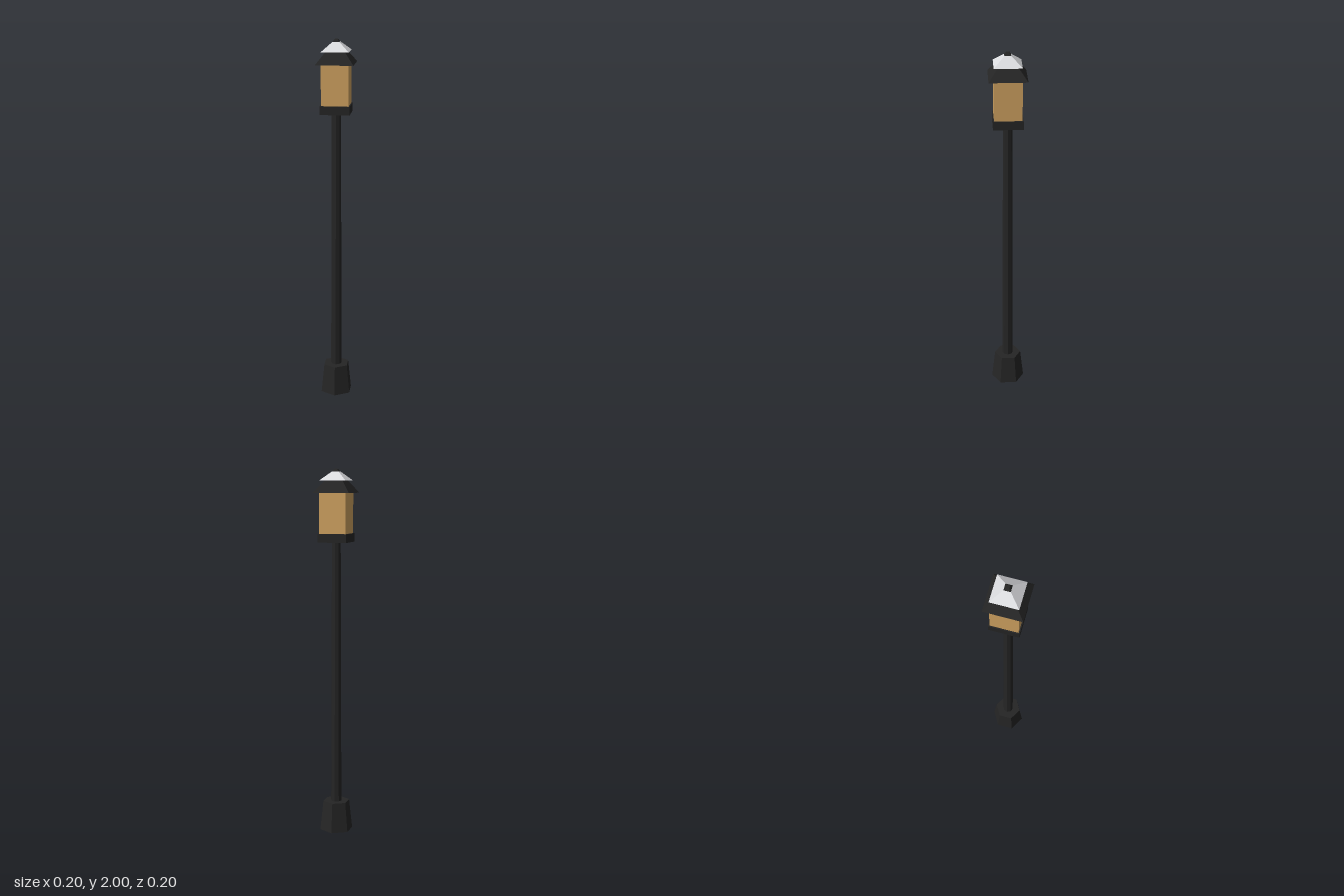
import * as THREE from 'three';

export function createModel() {
  const lamp = new THREE.Group();
  lamp.name = 'streetLamp';

  const material = (name, color) => {
    const m = new THREE.MeshStandardMaterial({ color, flatShading: true });
    m.name = name;
    return m;
  };
  const blackIron = material('blackIron', 0x252525);
  const amberGlass = material('amberGlass', 0xcfa260);
  const paleMetal = material('paleMetal', 0xdcdde0);

  // Tapered prism between two heights
  function prism(name, mat, sides, rBottom, rTop, y0, y1) {
    const geometry = new THREE.CylinderGeometry(rTop, rBottom, y1 - y0, sides);
    const mesh = new THREE.Mesh(geometry, mat);
    mesh.name = name;
    mesh.position.y = (y0 + y1) / 2;
    lamp.add(mesh);
    return mesh;
  }

  // Square tapered block given by its half widths, sides facing the axes
  function block(name, mat, halfBottom, halfTop, y0, y1) {
    const mesh = prism(name, mat, 4, halfBottom * Math.SQRT2, halfTop * Math.SQRT2, y0, y1);
    mesh.geometry.rotateY(Math.PI / 4);
  }

  // Foot and post
  prism('foot', blackIron, 6, 0.092, 0.074, 0, 0.165);
  prism('post', blackIron, 8, 0.03, 0.025, 0.165, 1.612);

  // Lantern
  block('lanternTray', blackIron, 0.079, 0.079, 1.612, 1.658);
  block('lanternGlass', amberGlass, 0.073, 0.073, 1.658, 1.874);
  block('lowerRoof', blackIron, 0.1, 0.05, 1.874, 1.938);
  block('upperRoof', paleMetal, 0.073, 0.018, 1.938, 1.986);
  block('finial', blackIron, 0.019, 0.008, 1.984, 2);

  return lamp;
}
